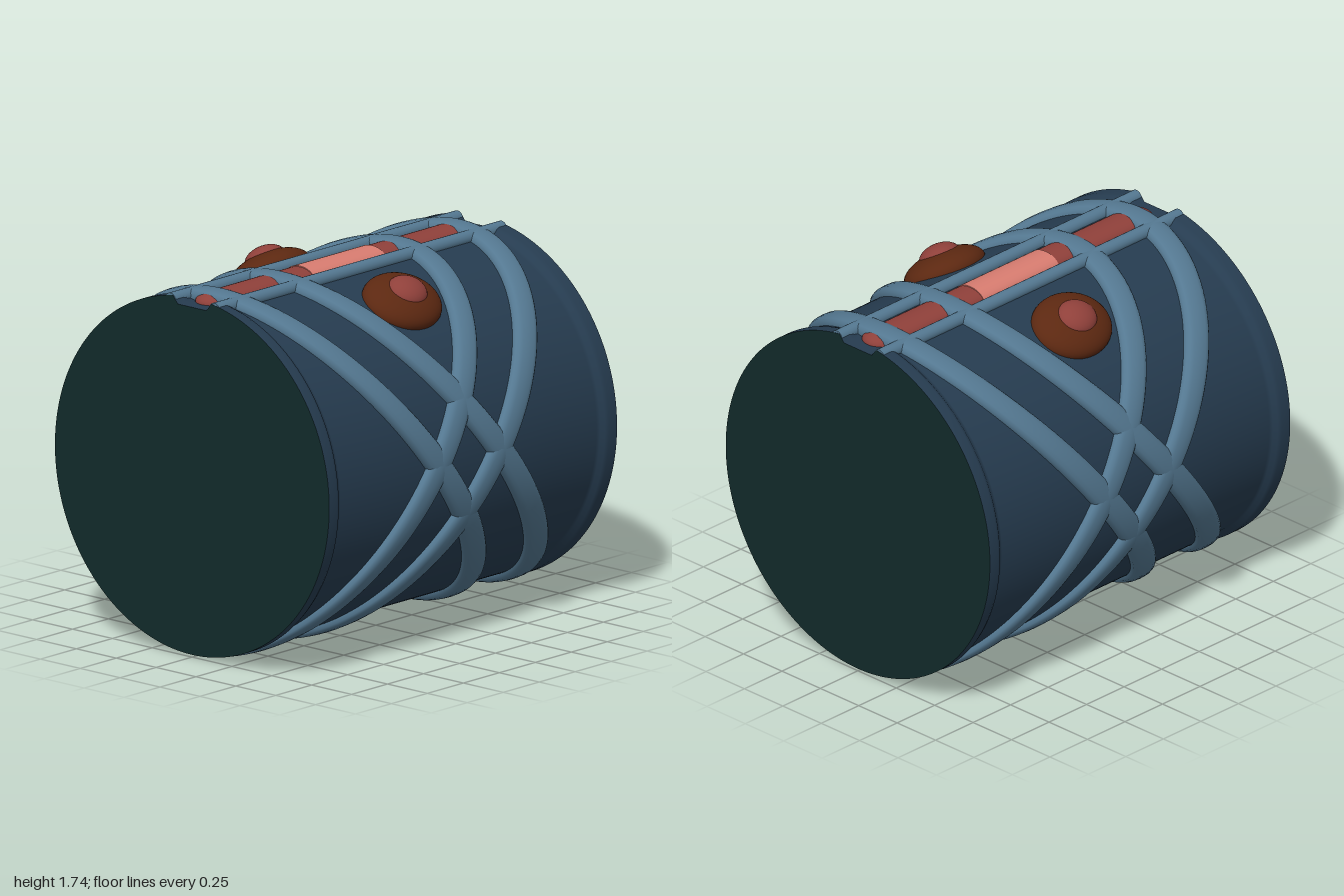
import * as THREE from 'three';

const AXIS_Y = 0.875; // height of the drum's axis
const R = 0.83;       // drum radius

const mat = (name, color) => Object.assign(new THREE.MeshStandardMaterial({ color }), { name });

// Flattens the top of the drum into a channel for the light strip
function cutChannel(geo) {
  const p = geo.attributes.position;
  for (let i = 0; i < p.count; i++) {
    if (p.getY(i) > 0 && Math.abs(p.getZ(i)) < 0.1) p.setY(i, Math.min(p.getY(i), 0.815));
  }
  geo.computeVertexNormals();
  return geo;
}

// Closed band around the drum along a tilted ellipse, with a rounded flat section
function bandGeometry(x0, k) {
  const N = 128, M = 16, pos = [], idx = [];
  const soft = v => Math.sign(v) * Math.pow(Math.abs(v), 0.75);
  for (let i = 0; i < N; i++) {
    const t = i / N * Math.PI * 2, c = Math.cos(t), s = Math.sin(t);
    const out = new THREE.Vector3(0, c, s);
    const along = new THREE.Vector3(-k * s, -R * s, R * c).normalize();
    const side = along.clone().cross(out).normalize();
    for (let j = 0; j < M; j++) {
      const a = j / M * Math.PI * 2;
      const v = new THREE.Vector3(x0 + k * c, R * c, R * s)
        .addScaledVector(side, 0.067 * soft(Math.cos(a)))
        .addScaledVector(out, 0.041 * soft(Math.sin(a)));
      pos.push(v.x, v.y, v.z);
      const n = (i + 1) % N, m = (j + 1) % M;
      idx.push(i * M + j, n * M + j, i * M + m, n * M + j, n * M + m, i * M + m);
    }
  }
  const g = new THREE.BufferGeometry();
  g.setAttribute('position', new THREE.Float32BufferAttribute(pos, 3));
  g.setIndex(idx);
  g.computeVertexNormals();
  return g;
}

export function createModel() {
  const model = new THREE.Group();
  model.name = 'bandedDrum';
  const drum = new THREE.Group();
  drum.name = 'drum';
  drum.position.y = AXIS_Y;
  model.add(drum);

  const navy = mat('navy', 0x263c50), steel = mat('steelBlue', 0x547891);
  const teal = mat('darkTeal', 0x112a2a), red = mat('dullRed', 0x8f403a);
  const pink = mat('lightPink', 0xd87c70), brown = mat('brown', 0x5c2811);

  const add = (name, geo, material, parent = drum) => {
    const m = new THREE.Mesh(geo, material);
    m.name = name;
    parent.add(m);
    return m;
  };

  // Drum shell with raised rims
  const half = [[0.86, 1], [0.86, 0.945], [0.852, 0.925], [0.836, 0.908], [R, 0.89], [R, 0.6]];
  const profile = [...half.map(([r, x]) => new THREE.Vector2(r, -x)),
    ...half.slice().reverse().map(([r, x]) => new THREE.Vector2(r, x))];
  const shell = new THREE.LatheGeometry(profile, 180, Math.PI / 2).rotateZ(-Math.PI / 2);
  add('shell', cutChannel(shell), navy);

  // End discs
  for (const s of [-1, 1]) {
    const disc = new THREE.CircleGeometry(0.86, 180).rotateY(s * Math.PI / 2).translate(s, 0, 0);
    add(s > 0 ? 'leftEnd' : 'rightEnd', cutChannel(disc), teal);
  }

  // Crossing bands, two leaning each way
  for (const s of [-1, 1]) {
    add('outerBand', bandGeometry(-0.247 * s, 0.667 * s), steel);
    add('innerBand', bandGeometry(0.177 * s, 0.655 * s), steel);
  }

  // Light strip and its brighter middle
  const strip = add('lightStrip', new THREE.CapsuleGeometry(0.086, 1.7, 10, 32).rotateZ(Math.PI / 2), red);
  strip.position.y = 0.815;
  strip.scale.y = 0.53;
  const glow = add('lightStripCentre', new THREE.CylinderGeometry(0.088, 0.088, 0.5, 32).rotateZ(Math.PI / 2), pink);
  glow.position.y = 0.815;
  glow.scale.y = 0.57;

  // Rails and domed lamps on both sides of the strip
  for (const s of [-1, 1]) {
    const rail = add('rail', new THREE.CylinderGeometry(0.034, 0.034, 1.996, 20).rotateZ(Math.PI / 2), steel);
    rail.position.set(0, 0.826, s * 0.138);

    const lamp = new THREE.Group();
    lamp.name = s > 0 ? 'frontLamp' : 'backLamp';
    lamp.rotation.x = s * Math.PI / 6;
    drum.add(lamp);
    const base = add('lampBase', new THREE.SphereGeometry(1, 40, 24), brown, lamp);
    base.position.y = 0.825;
    base.scale.set(0.215, 0.095, 0.18);
    const lens = add('lampLens', new THREE.SphereGeometry(1, 32, 20), red, lamp);
    lens.position.y = 0.89;
    lens.scale.set(0.105, 0.062, 0.095);
  }
  return model;
}
